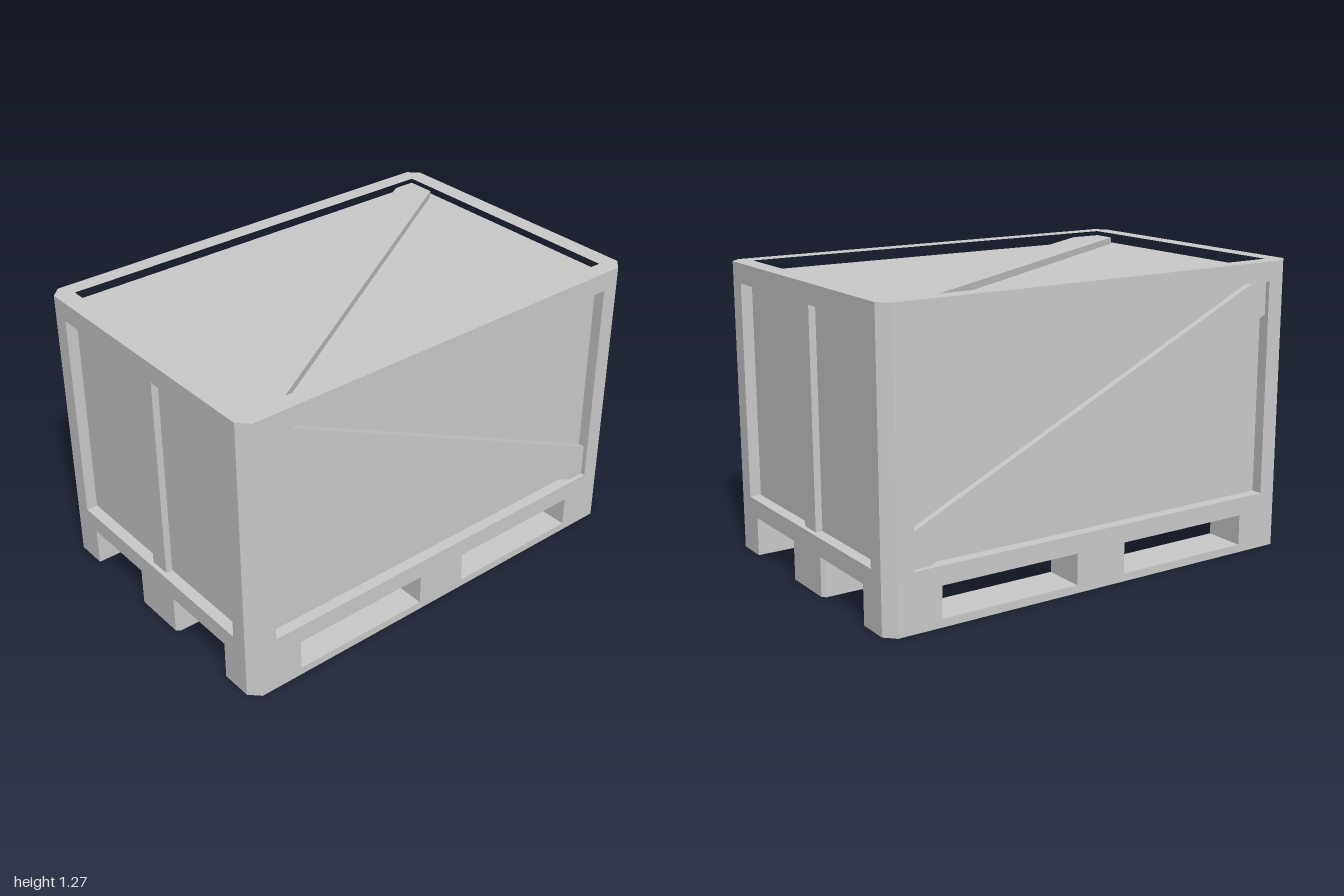
import * as THREE from 'three';

const W = 0.665, L = 1, H = 1.275;          // half width, half length, height
const CH = 0.045;                           // corner chamfer
const DECK = 0.17, SILL = 0.25, HEAD = 1.19; // deck underside, opening bottom and top
const RECESS = 0.05, BATTEN = 0.03;         // panel recess, batten thickness

const material = new THREE.MeshStandardMaterial({ color: 0xcccccc, flatShading: true });

function polygon(points) {
  return new THREE.Shape(points.map(([a, b]) => new THREE.Vector2(a, b)));
}

function extrude(shape, depth) {
  return new THREE.ExtrudeGeometry(shape, { depth, bevelEnabled: false });
}

// Rectangle in plan; c holds the chamfers of the corners
// (x0,z0), (x1,z0), (x1,z1), (x0,z1)
function plan(x0, x1, z0, z1, c = [0, 0, 0, 0]) {
  const corners = [[x0, z0, 1, 1], [x1, z0, -1, 1], [x1, z1, -1, -1], [x0, z1, 1, -1]];
  const points = [];
  corners.forEach(([x, z, sx, sz], i) => {
    if (!c[i]) return points.push([x, -z]);
    const alongZ = [x, -(z + sz * c[i])], alongX = [x + sx * c[i], -z];
    points.push(...(i % 2 ? [alongX, alongZ] : [alongZ, alongX]));
  });
  return polygon(points);
}

export function createModel() {
  const group = new THREE.Group();

  function add(name, geometry, x = 0, y = 0, z = 0) {
    const mesh = new THREE.Mesh(geometry, material);
    mesh.name = name;
    mesh.position.set(x, y, z);
    group.add(mesh);
    return mesh;
  }
  // Plan outline raised from y0 to y1
  const slab = (name, shape, y0, y1) =>
    add(name, extrude(shape, y1 - y0).rotateX(-Math.PI / 2), 0, y0, 0);

  // Recessed panels on all sides and the lid
  const px = W - RECESS, pz = L - RECESS, py = H - RECESS;
  add('panels', new THREE.BoxGeometry(px * 2, py - 0.2, pz * 2), 0, (py + 0.2) / 2, 0);

  // Outer frame: base, corner posts, open top rim
  const all = [CH, CH, CH, CH];
  slab('baseFrame', plan(-W, W, -L, L, all), DECK, SILL);
  const rim = plan(-W, W, -L, L, all);
  rim.holes.push(plan(-0.59, 0.59, -0.92, 0.92));
  slab('topFrame', rim, HEAD, H);
  for (const sx of [-1, 1]) {
    for (const sz of [-1, 1]) {
      const c = [[-1, -1], [1, -1], [1, 1], [-1, 1]].map(([a, b]) => (a === sx && b === sz ? CH : 0));
      const xs = sx > 0 ? [0.545, W] : [-W, -0.545];
      const zs = sz > 0 ? [0.88, L] : [-L, -0.88];
      slab('cornerPost', plan(...xs, ...zs, c), SILL, HEAD);
    }
  }

  // Upright battens on the front and back
  for (const s of [-1, 1]) {
    add('uprightBatten', new THREE.BoxGeometry(0.095, HEAD - SILL, BATTEN),
      0, (HEAD + SILL) / 2, s * (pz + BATTEN / 2));
  }

  // Diagonal battens on both long sides, running from front top to back bottom
  const diagonal = polygon([[-0.88, 1.045], [0.8, SILL], [0.88, SILL], [0.88, 0.395], [-0.81, HEAD], [-0.88, HEAD]]);
  for (const x of [px, -px - BATTEN]) {
    add('sideDiagonalBatten', extrude(diagonal, BATTEN).rotateY(Math.PI / 2), x, 0, 0);
  }

  // Diagonal batten across the lid
  const lid = [[-0.59, -0.92], [-0.46, -0.92], [0.59, 0.775], [0.59, 0.92], [0.48, 0.92], [-0.59, -0.82]];
  slab('lidDiagonalBatten', polygon(lid.map(([x, z]) => [x, -z])), py, py + BATTEN);

  // Pallet runners: a bottom plank with blocks at the ends and the middle
  const runners = [
    [-W, -0.48, [CH, 0, 0, CH]],
    [-0.135, 0.135, [0.015, 0.015, 0.015, 0.015]],
    [0.48, W, [0, CH, CH, 0]],
  ];
  for (const [x0, x1, c] of runners) {
    slab('runnerPlank', plan(x0, x1, -L, L, c), 0, 0.035);
    slab('backBlock', plan(x0, x1, -L, -0.76, [c[0], c[1], 0, 0]), 0.035, DECK);
    slab('middleBlock', plan(x0, x1, -0.12, 0.12), 0.035, DECK);
    slab('frontBlock', plan(x0, x1, 0.76, L, [0, 0, c[2], c[3]]), 0.035, DECK);
  }

  return group;
}
